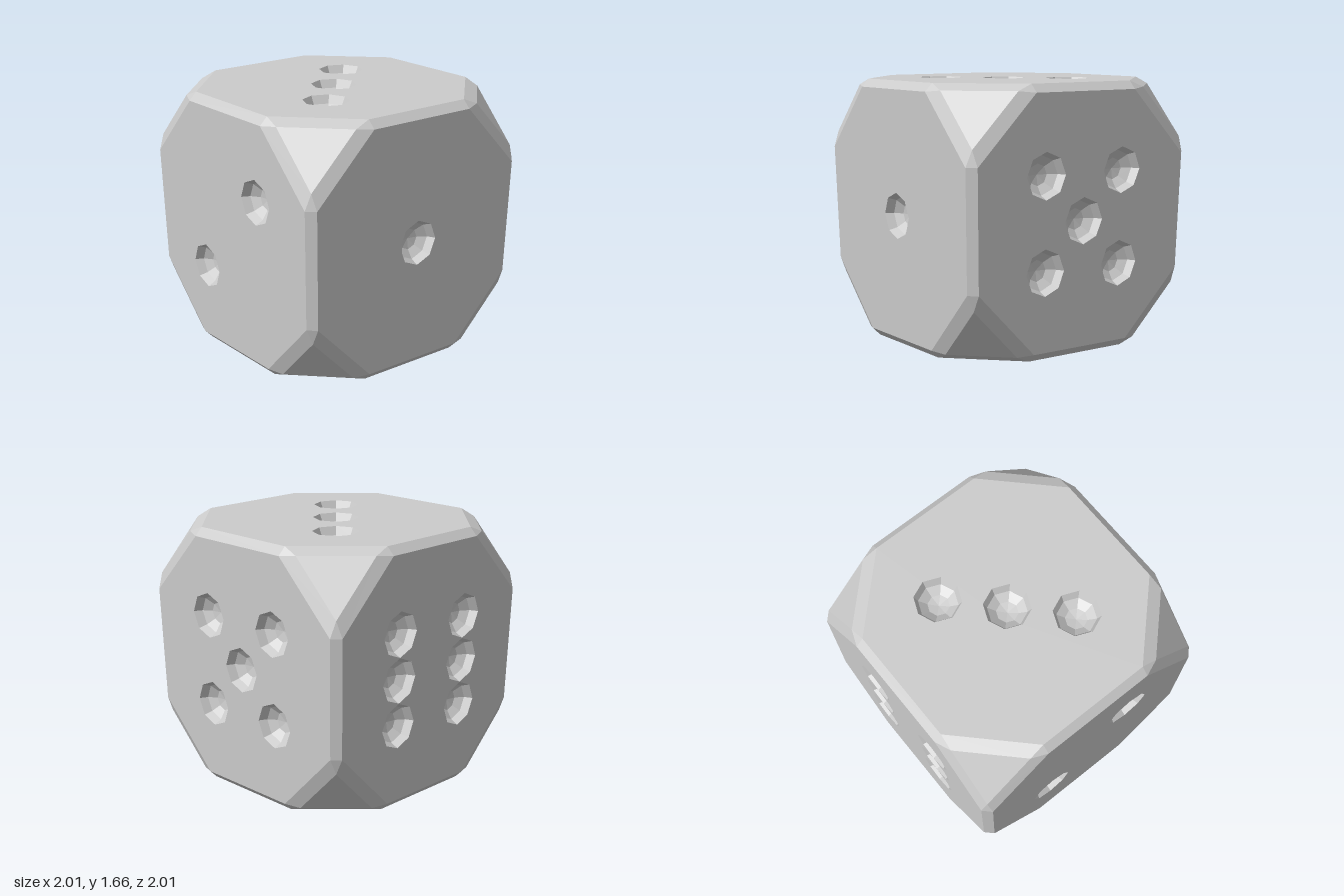
import * as THREE from 'three';
import { mergeGeometries } from 'three/addons/utils/BufferGeometryUtils.js';

const H = 0.83;           // half size of the cube
const A = 0.78, B = 0.37; // octagon face outline
const T = 0.79, S = 0.47; // cut corner triangle
const P = 0.29;           // pip spacing
const R = 0.144;          // pip radius
const TURN = 0.272;       // the die stands turned about y

const material = new THREE.MeshStandardMaterial({ color: 0xcccccc, flatShading: true });
const V = (x, y, z) => new THREE.Vector3(x, y, z);

// Slight narrowing towards the bottom
function taper(geometry) {
  const p = geometry.attributes.position;
  for (let i = 0; i < p.count; i++) {
    const k = 0.985 + 0.032 * p.getY(i);
    p.setX(i, p.getX(i) * k);
    p.setZ(i, p.getZ(i) * k);
  }
  geometry.computeVertexNormals();
  return geometry;
}

// Adds a triangle, wound so that it faces away from the centre
function tri(out, a, b, c) {
  const n = b.clone().sub(a).cross(c.clone().sub(a));
  const order = n.dot(a) > 0 ? [a, b, c] : [a, c, b];
  order.forEach((p) => out.push(p.x, p.y, p.z));
}
function quad(out, a, b, c, d) {
  tri(out, a, b, c);
  tri(out, a, c, d);
}
function solid(list) {
  const g = new THREE.BufferGeometry();
  g.setAttribute('position', new THREE.Float32BufferAttribute(list, 3));
  return taper(g);
}

// Bevelled edges and cut corners
function edgesAndCorners() {
  const edges = [], corners = [];
  const axes = [0, 1, 2];
  // a point given by its values along three axes, starting at axis i
  const at = (i, p, q, r) => {
    const c = [0, 0, 0];
    c[i] = p; c[(i + 1) % 3] = q; c[(i + 2) % 3] = r;
    return V(...c);
  };
  for (const i of axes) for (const s of [-1, 1]) for (const t of [-1, 1]) {
    quad(edges, at(i, -B, s * H, t * A), at(i, B, s * H, t * A),
      at(i, B, s * A, t * H), at(i, -B, s * A, t * H));
  }
  for (const x of [-1, 1]) for (const y of [-1, 1]) for (const z of [-1, 1]) {
    const m = (i, p, q, r) => at(i, p, q, r).multiply(V(x, y, z));
    tri(corners, m(0, S, T, T), m(1, S, T, T), m(2, S, T, T));
    for (const i of axes) {
      // strip between the cut corner and one face
      quad(corners, m(i, H, A, B), m(i, H, B, A), m(i, T, S, T), m(i, T, T, S));
      // small triangle at the end of an edge bevel
      tri(corners, m(i, B, H, A), m(i, B, A, H), m(i, S, T, T));
    }
  }
  return [solid(edges), solid(corners)];
}

// Octagonal face with pip holes
function faceGeometry(pips, frame) {
  const shape = new THREE.Shape([
    [A, -B], [A, B], [B, A], [-B, A], [-A, B], [-A, -B], [-B, -A], [B, -A],
  ].map(([x, y]) => new THREE.Vector2(x, y)));
  for (const [u, v] of pips) {
    const ring = [];
    for (let i = 0; i < 8; i++) {
      const a = -i * Math.PI / 4;
      ring.push(new THREE.Vector2(u + R * Math.cos(a), v + R * Math.sin(a)));
    }
    shape.holes.push(new THREE.Path(ring));
  }
  const g = new THREE.ShapeGeometry(shape).translate(0, 0, H).applyMatrix4(frame);
  return taper(g);
}

// Faceted bowls
function pipGeometry(pips, frame) {
  const profile = [[1, 0], [0.84, -0.36], [0.47, -0.62], [0, -0.7]]
    .map(([r, y]) => new THREE.Vector2(r * R, y * R));
  return taper(mergeGeometries(pips.map(([u, v]) =>
    new THREE.LatheGeometry(profile, 8).rotateX(Math.PI / 2).translate(u, v, H).applyMatrix4(frame))));
}

export function createModel() {
  const model = new THREE.Group();
  model.name = 'die';
  const body = new THREE.Group();
  body.name = 'dieBody';
  body.rotation.y = TURN;
  body.position.y = H;
  model.add(body);

  const add = (name, geometry) => {
    const mesh = new THREE.Mesh(geometry, material);
    mesh.name = name;
    body.add(mesh);
  };

  const [edges, corners] = edgesAndCorners();
  add('bevelledEdges', edges);
  add('cutCorners', corners);

  // Pip layouts
  const one = [[0, 0]];
  const two = [[P, P], [-P, -P]];
  const four = [...two, [-P, P], [P, -P]];
  const six = [...four, [-P, 0], [P, 0]];

  // Name, pips, and the face's right and up directions
  const faces = [
    ['front', one, V(1, 0, 0), V(0, 1, 0)],
    ['left', [...one, ...four], V(0, 0, -1), V(0, 1, 0)],
    ['back', six, V(-1, 0, 0), V(0, 1, 0)],
    ['right', two, V(0, 0, 1), V(0, 1, 0)],
    ['top', [...one, ...two], V(1, 0, 0), V(0, 0, -1)],
    ['bottom', four, V(1, 0, 0), V(0, 0, 1)],
  ];
  for (const [name, pips, u, v] of faces) {
    const frame = new THREE.Matrix4().makeBasis(u, v, u.clone().cross(v));
    add(name + 'Face', faceGeometry(pips, frame));
    add(name + 'Pips', pipGeometry(pips, frame));
  }
  return model;
}
